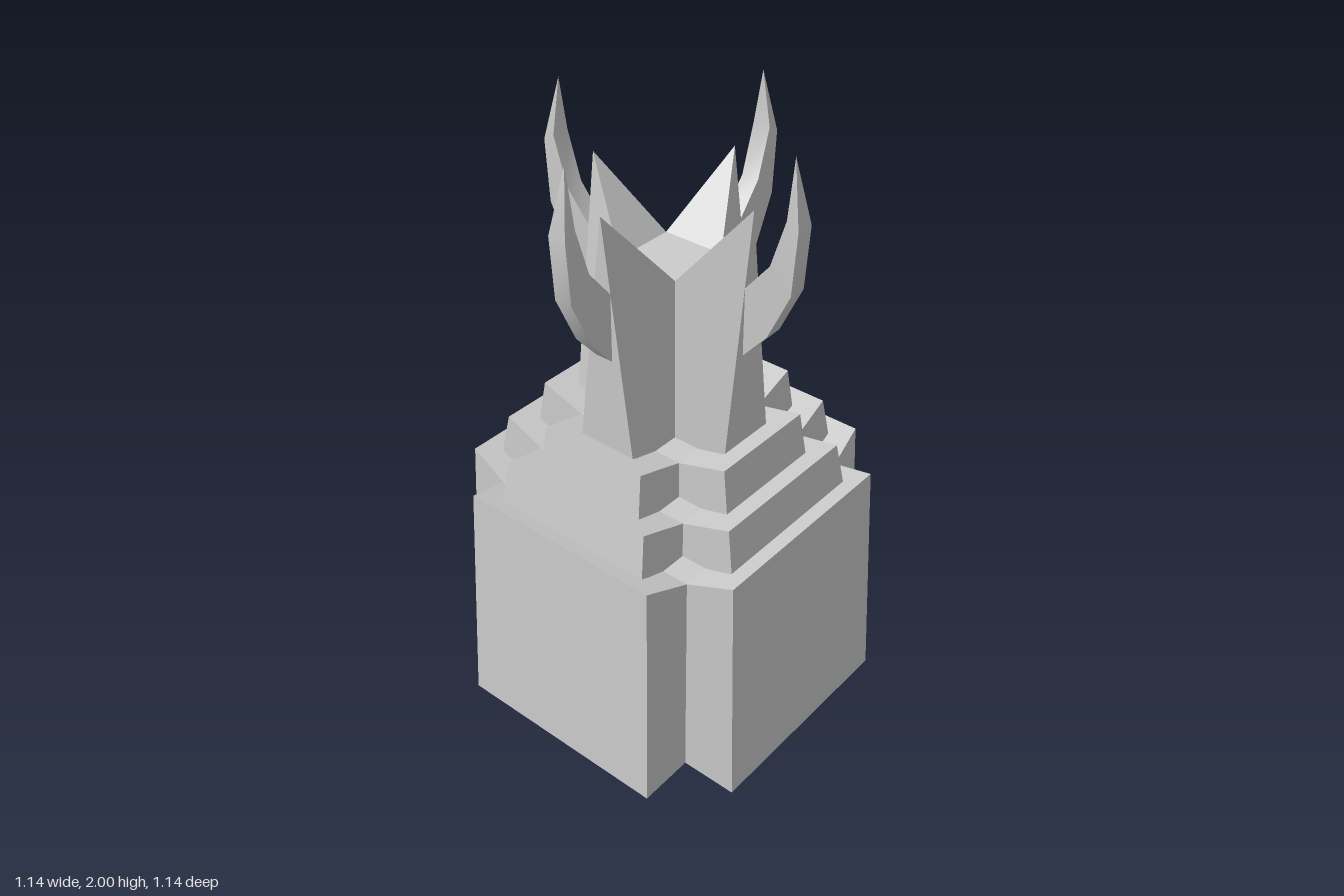
import * as THREE from 'three';
import { toCreasedNormals } from 'three/addons/utils/BufferGeometryUtils.js';

const material = new THREE.MeshStandardMaterial({ color: 0xcccccc });

// Non-indexed geometry from polygons (lists of Vector3), one normal per polygon
function facets(polygons) {
  const points = [], normals = [];
  for (const p of polygons) {
    const triangles = [], normal = new THREE.Vector3(), n = new THREE.Vector3();
    for (let i = 1; i < p.length - 1; i++) {
      const triangle = new THREE.Triangle(p[0], p[i], p[i + 1]);
      const area = triangle.getArea();
      if (area < 1e-7) continue;
      normal.addScaledVector(triangle.getNormal(n), area);
      triangles.push(p[0], p[i], p[i + 1]);
    }
    normal.normalize();
    for (const v of triangles) {
      points.push(v);
      normals.push(...normal);
    }
  }
  const geometry = new THREE.BufferGeometry().setFromPoints(points);
  geometry.setAttribute('normal', new THREE.Float32BufferAttribute(normals, 3));
  return geometry;
}

// Twelve-point cross outline: arm end at "out" with half width "hw", notch corner at "inner"
function crossRing(out, hw, yOut, inner, yInner) {
  const ring = [];
  for (let k = 0; k < 4; k++) {
    for (const [x, y, z] of [[-hw, yOut, out], [hw, yOut, out], [inner, yInner, inner]]) {
      ring.push(new THREE.Vector3(x, y, z).applyAxisAngle(new THREE.Vector3(0, 1, 0), k * Math.PI / 2));
    }
  }
  return ring;
}

// Cross-shaped block between two outlines, its top dipping towards the middle
function crossBlock(name, b, t) {
  const polygons = [];
  for (let i = 0; i < 12; i++) {
    const j = (i + 1) % 12;
    // each side is split from its outer bottom corner to its inner top corner
    if (i % 3 === 2) polygons.push([b[j], t[j], t[i], b[i]]);
    else polygons.push([b[i], b[j], t[j], t[i]]);
  }
  for (const [r, up] of [[t, true], [b, false]]) {
    const caps = [[r[2], r[5], r[8], r[11]]];
    for (let k = 0; k < 4; k++) caps.push([r[3 * k], r[3 * k + 1], r[3 * k + 2], r[(3 * k + 11) % 12]]);
    for (const c of caps) polygons.push(up ? c : c.reverse());
  }
  const mesh = new THREE.Mesh(facets(polygons), material);
  mesh.name = name;
  return mesh;
}

// Curved claw: sections of [outer x, outer y, inner x, inner y], closed by a pointed tip
function clawGeometry() {
  const w = 0.03;
  const sections = [
    [0.27, 1.356, 0.27, 1.545],
    [0.297, 1.356, 0.297, 1.578],
    [0.376, 1.446, 0.376, 1.674],
    [0.45, 1.605, 0.424, 1.827],
    [0.463, 1.805, 0.424, 1.827],
  ].map(([ox, oy, ix, iy]) => [
    new THREE.Vector3(ox, oy, w), new THREE.Vector3(ox, oy, -w),
    new THREE.Vector3(ix, iy, -w), new THREE.Vector3(ix, iy, w),
  ]);
  const tip = new THREE.Vector3(0.422, 2, 0);
  const polygons = [[...sections[0]].reverse()];
  for (let s = 0; s < sections.length; s++) {
    const a = sections[s], c = sections[s + 1];
    for (let i = 0; i < 4; i++) {
      const j = (i + 1) % 4;
      polygons.push(c ? [a[i], a[j], c[j], c[i]] : [a[i], a[j], tip]);
    }
  }
  return toCreasedNormals(facets(polygons), 0.6);
}

export function createModel() {
  const model = new THREE.Group();
  model.name = 'clawedTower';

  // Stepped base of three cross-shaped tiers
  model.add(crossBlock('baseTier', crossRing(0.57, 0.38, 0, 0.38, 0), crossRing(0.53, 0.355, 0.815, 0.38, 0.768)));
  model.add(crossBlock('middleTier', crossRing(0.478, 0.29, 0.765, 0.29, 0.765), crossRing(0.447, 0.273, 0.935, 0.29, 0.893)));
  model.add(crossBlock('upperTier', crossRing(0.386, 0.2, 0.89, 0.2, 0.89), crossRing(0.36, 0.188, 1.06, 0.197, 1.017)));

  // Tower whose four arms rise to points
  model.add(crossBlock('tower', crossRing(0.295, 0.105, 1.015, 0.105, 1.015), crossRing(0.295, 0, 1.805, 0.105, 1.562)));

  // One claw on each arm
  const geometry = clawGeometry();
  for (let k = 0; k < 4; k++) {
    const claw = new THREE.Mesh(geometry, material);
    claw.name = 'claw' + (k + 1);
    claw.rotation.y = k * Math.PI / 2;
    model.add(claw);
  }
  return model;
}
